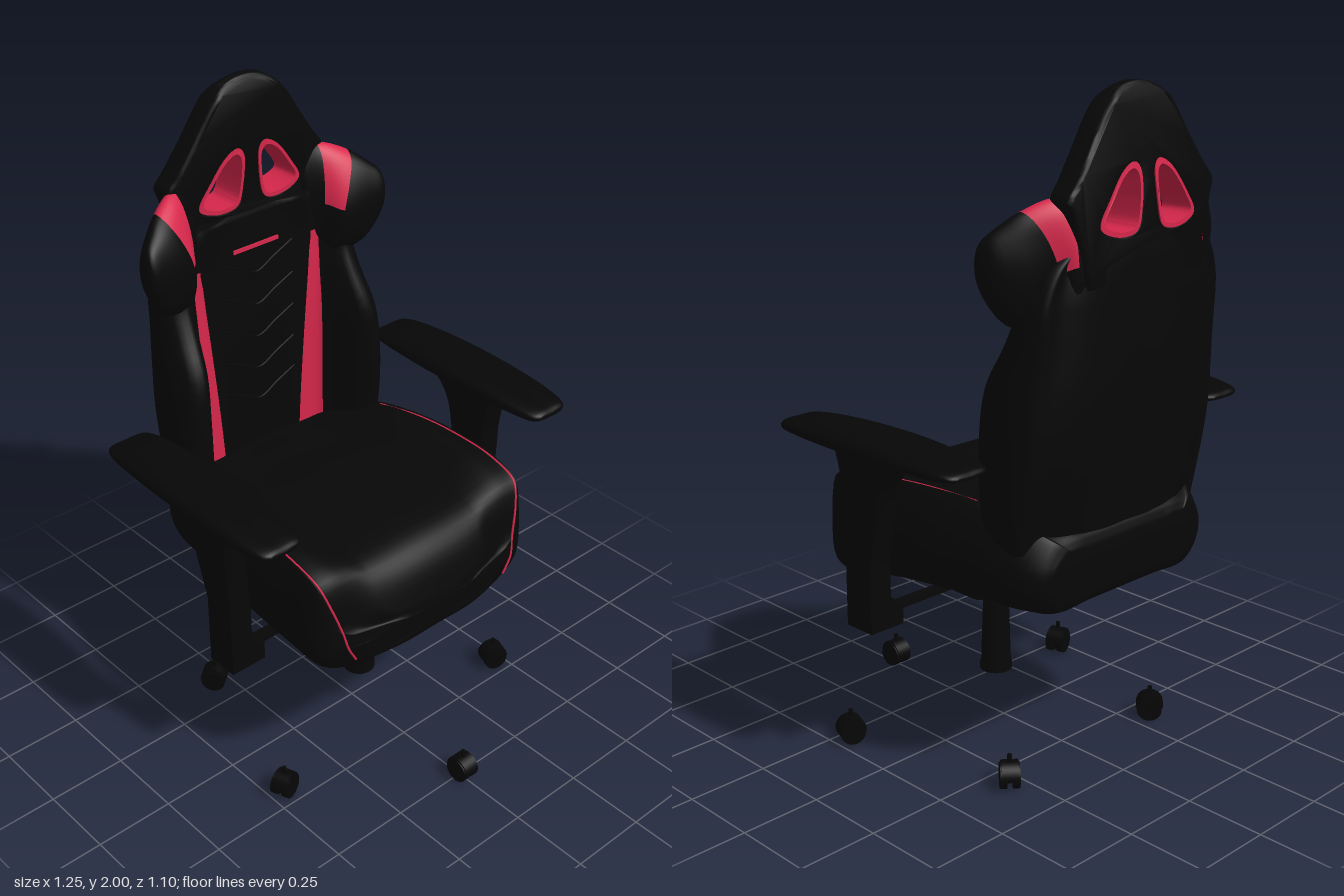
import * as THREE from 'three';
import { toCreasedNormals } from 'three/addons/utils/BufferGeometryUtils.js';

const V = (x, y, z) => new THREE.Vector3(x, y, z);
const smooth = THREE.MathUtils.smoothstep;
const SUB = 4; // subdivisions between control points

export function createModel() {
  const fabric = new THREE.MeshStandardMaterial({ color: 0x070707 });
  fabric.name = 'black fabric';
  const plastic = new THREE.MeshStandardMaterial({ color: 0x060606 });
  plastic.name = 'black plastic';
  const red = new THREE.MeshStandardMaterial({ color: 0xd6274b });
  red.name = 'red trim';

  const model = new THREE.Group();
  const add = (name, geo, mat, x = 0, y = 0, z = 0, parent = model) => {
    const m = new THREE.Mesh(geo, mat);
    m.name = name;
    m.position.set(x, y, z);
    parent.add(m);
    return m;
  };
  const box = (w, h, d) => new THREE.BoxGeometry(w, h, d);
  const cyl = (a, b, h, n = 24) => new THREE.CylinderGeometry(a, b, h, n);
  const tube = (pts, r, n = 48) => new THREE.TubeGeometry(new THREE.CatmullRomCurve3(pts), n, r, 6);

  // Half a cross-section, first and last point on x = 0, made whole
  const mirror = (half) => [...half, ...half.slice(1, -1).reverse().map((p) => V(-p.x, p.y, p.z))];

  // Smooth closed skin through rings of control points; isRed picks spans (row, column)
  function loft(sections, isRed = () => false) {
    const n = sections[0].length * SUB, m = (sections.length - 1) * SUB;
    const rings = sections.map((s) => {
      const c = new THREE.CatmullRomCurve3(s, true);
      return Array.from({ length: n }, (_, j) => c.getPoint(j / n));
    });
    const cols = Array.from({ length: n }, (_, j) => new THREE.CatmullRomCurve3(rings.map((r) => r[j])));
    const pts = [];
    for (let i = 0; i <= m; i++) for (let j = 0; j < n; j++) pts.push(cols[j].getPoint(i / m));
    const parts = [[], []];
    for (let i = 0; i < m; i++) for (let j = 0; j < n; j++) {
      const a = i * n + j, b = i * n + (j + 1) % n;
      parts[isRed(Math.floor(i / SUB), Math.floor(j / SUB)) ? 1 : 0].push(a, b, b + n, a, b + n, a + n);
    }
    for (const row of [0, m]) { // end caps
      const mid = V(0, 0, 0);
      for (let j = 0; j < n; j++) mid.addScaledVector(pts[row * n + j], 1 / n);
      const c = pts.push(mid) - 1;
      for (let j = 0; j < n; j++) {
        const a = row * n + j, b = row * n + (j + 1) % n;
        parts[0].push(c, ...(row ? [a, b] : [b, a]));
      }
    }
    const index = parts.flat();
    let volume = 0;
    const cross = V(0, 0, 0);
    for (let k = 0; k < index.length; k += 3)
      volume += pts[index[k]].dot(cross.crossVectors(pts[index[k + 1]], pts[index[k + 2]]));
    if (volume < 0) for (let k = 0; k < index.length; k += 3) [index[k], index[k + 1]] = [index[k + 1], index[k]];
    const geo = new THREE.BufferGeometry().setFromPoints(pts);
    geo.setIndex(index);
    geo.addGroup(0, parts[0].length, 0);
    geo.addGroup(parts[0].length, parts[1].length, 1);
    geo.computeVertexNormals();
    return geo;
  }

  const edit = (geo, rule) => {
    const p = geo.attributes.position, v = V(0, 0, 0);
    for (let i = 0; i < p.count; i++) {
      v.fromBufferAttribute(p, i);
      rule(v);
      p.setXYZ(i, v.x, v.y, v.z);
    }
    return toCreasedNormals(geo, 0.7);
  };

  // Seat cushion: [z, half width, centre top, bolster top, bottom, edge ratio]
  const seatSections = [
    [-0.50, 0.29, 0.75, 0.76, 0.65, 0.84], [-0.48, 0.335, 0.79, 0.79, 0.58, 0.84],
    [-0.40, 0.38, 0.80, 0.83, 0.57, 0.86], [-0.25, 0.405, 0.81, 0.87, 0.57, 0.88],
    [-0.10, 0.43, 0.82, 0.88, 0.565, 0.90], [0.05, 0.44, 0.82, 0.875, 0.55, 0.92],
    [0.20, 0.43, 0.82, 0.86, 0.52, 0.95], [0.30, 0.418, 0.80, 0.825, 0.50, 0.965],
    [0.352, 0.40, 0.75, 0.765, 0.505, 0.965], [0.383, 0.37, 0.66, 0.66, 0.53, 0.955],
    [0.39, 0.16, 0.63, 0.63, 0.57, 0.955],
  ].map(([z, w, yt, yB, yb, p]) => mirror([
    [0, yt], [0.5, yt], [0.64, yt + 0.4 * (yB - yt)], [0.8, yB - 0.006], [p - 0.02, yB - 0.005], [p, yB - 0.003],
    [1, yB * 0.6 + yb * 0.4], [0.97, yb + 0.05], [0.8, yb], [0.4, yb], [0, yb],
  ].map(([u, y]) => V(u * w, y, z - 0.035 * smooth(u * w, 0.14, 0.3) * smooth(z, 0.28, 0.39)))));
  add('seatCushion', loft(seatSections), [fabric, red]);
  for (const s of [1, -1]) {
    const path = seatSections.slice(3, 10).map((r) => V(r[4].x * s, r[4].y - 0.001, r[4].z + 0.001));
    path.push(V(0.334 * s, 0.6, 0.359), V(0.305 * s, 0.545, 0.358));
    add('seatPiping', tube(path, 0.0035), red);
  }

  // Backrest: [y, half width, bolster front, back, stripe inner x, stripe outer x]
  const PANEL_Z = -0.43;
  const backSections = [
    [0.62, 0.35, -0.30, -0.45, 0.14, 0.235], [0.72, 0.37, -0.27, -0.475, 0.148, 0.235],
    [0.88, 0.39, -0.262, -0.505, 0.158, 0.235], [1.05, 0.394, -0.262, -0.535, 0.172, 0.236],
    [1.20, 0.386, -0.278, -0.545, 0.186, 0.238], [1.32, 0.372, -0.335, -0.547, 0.198, 0.239],
    [1.40, 0.366, -0.367, -0.547, 0.205, 0.24], [1.46, 0.358, -0.375, -0.547, 0.212, 0.24],
    [1.54, 0.32, -0.40, -0.546, 0.2, 0.235], [1.59, 0.26, -0.44, -0.54, 0.17, 0.2],
  ].map(([y, w, zb, back, s1, s2]) => mirror([
    [0, PANEL_Z], [s1 * 0.6, PANEL_Z], [s1, PANEL_Z + 0.006], [s2, PANEL_Z + 0.16 * (zb - PANEL_Z)], [w * 0.82, zb],
    [w * 0.95, zb - 0.02], [w, zb * 0.6 + back * 0.4], [w * 0.95, zb * 0.25 + back * 0.75],
    [w * 0.82, back + 0.042], [w * 0.6, back + 0.014], [w * 0.3, back], [0, back],
  ].map(([x, z]) => V(x, y, z))));
  add('backrest', loft(backSections, (i, j) => i >= 1 && i < 7 && (j === 2 || j === 19)), [fabric, red]);

  // Quilted chevron seams and a plain accent strip
  for (let y = 0.95; y < 1.4; y += 0.11) {
    const seam = [-0.14, -0.07, 0, 0.07, 0.14].map((x) => V(x, y + Math.abs(x) * 0.45, PANEL_Z));
    add('chevronSeam', tube(seam, 0.004, 24), fabric);
  }
  add('accentStrip', box(0.17, 0.012, 0.008), red, 0, 1.48, PANEL_Z + 0.001);

  // Headrest with two openings, bent to the lean of the back
  const spline = (pts, n) => new THREE.SplineCurve(pts.map(([x, y]) => new THREE.Vector2(x, y))).getPoints(n);
  const bend = (grow) => (v) => {
    const half = 0.055 - 0.014 * smooth(v.y, 1.7, 1.95) - 0.023 * smooth(v.y, 1.95, 2.0) - 0.2 * v.x * v.x;
    v.z = -0.495 + 0.02 * smooth(v.y, 1.6, 1.95) + (v.z / 0.05) * half * grow;
  };
  const side = [[0.22, 1.48], [0.25, 1.6], [0.275, 1.68], [0.288, 1.72], [0.25, 1.768], [0.2, 1.84], [0.14, 1.93], [0.08, 1.983]];
  const outline = spline([...side, [0, 2.0], ...side.map(([x, y]) => [-x, y]).reverse()], 90);
  const opening = (s, k) => spline([[0.034, 1.7], [0.032, 1.765], [0.055, 1.79], [0.1, 1.765], [0.15, 1.7],
    [0.18, 1.65], [0.155, 1.626], [0.1, 1.615], [0.05, 1.63], [0.034, 1.7]]
    .map(([x, y]) => [s * (0.09 + (x - 0.09) * k), 1.69 + (y - 1.69) * k]), 40).slice(0, -1);
  const headShape = new THREE.Shape(outline);
  for (const s of [1, -1]) headShape.holes.push(new THREE.Path(opening(s, 1)));
  const headGeo = new THREE.ExtrudeGeometry(headShape, {
    depth: 0.076, bevelThickness: 0.012, bevelSize: 0.012, bevelOffset: -0.012, bevelSegments: 3,
  }).translate(0, 0, -0.038);
  add('headrest', edit(headGeo, bend(1)), fabric);
  for (const s of [1, -1]) {
    const rim = new THREE.Shape(opening(s, 1.09));
    rim.holes.push(new THREE.Path(opening(s, 0.92).reverse()));
    const rimGeo = new THREE.ExtrudeGeometry(rim, { depth: 0.1, bevelEnabled: false }).translate(0, 0, -0.05);
    add('openingRim', edit(rimGeo, bend(1.03)), red);
  }

  // Shoulder wings with a red strap: [x, top, bottom, z, half depth, lean]
  for (const s of [1, -1]) {
    const rings = [
      [0.20, 1.69, 1.38, -0.485, 0.045, 0], [0.265, 1.722, 1.37, -0.462, 0.064, 0.1],
      [0.354, 1.69, 1.37, -0.42, 0.072, 0.42], [0.40, 1.655, 1.39, -0.39, 0.06, 0.15],
      [0.435, 1.62, 1.48, -0.368, 0.036, 0], [0.445, 1.58, 1.53, -0.362, 0.012, 0],
    ].map(([x, top, bottom, z, d, lean]) => Array.from({ length: 12 }, (_, k) => {
      const a = (k / 12) * Math.PI * 2, drop = (1 - Math.cos(a)) / 2 * (top - bottom);
      const shift = lean * 0.18 * Math.sin(Math.min(drop / 0.22, 1) * Math.PI / 2);
      return V(s * (x - shift), top - drop, z + d * Math.sin(a));
    }));
    add('shoulderWing', loft(rings, (i, j) => i === 1 && (j < 3 || j > 8)), [fabric, red]);
  }

  // Arm pad sections: [z, half width, top, bottom]
  const padSections = [
    [0.32, 0.045, 1.022, 1.008], [0.305, 0.067, 1.03, 1.0], [0.25, 0.083, 1.038, 0.998],
    [0.1, 0.095, 1.05, 0.996], [-0.1, 0.098, 1.055, 0.996], [-0.25, 0.093, 1.05, 1.0],
    [-0.36, 0.083, 1.04, 1.005], [-0.4, 0.067, 1.032, 1.01], [-0.412, 0.045, 1.024, 1.014],
  ].map(([z, w, t, b]) => mirror([
    [0, t], [0.6, t], [0.92, t * 0.8 + b * 0.2], [1, (t + b) / 2], [0.92, t * 0.2 + b * 0.8], [0.6, b], [0, b],
  ].map(([u, y]) => V(u * w, y, z))));

  // Arm post side profile, drawn in (-z, y)
  const postShape = new THREE.Shape();
  postShape.moveTo(-0.085, 0.64).lineTo(-0.085, 0.85);
  postShape.quadraticCurveTo(-0.09, 0.95, -0.115, 1.005);
  postShape.lineTo(0.24, 1.005);
  postShape.quadraticCurveTo(0.1, 0.98, 0.065, 0.86);
  postShape.lineTo(0.015, 0.64);

  for (const s of [1, -1]) {
    const arm = new THREE.Group();
    arm.name = s > 0 ? 'leftArm' : 'rightArm';
    model.add(arm);
    add('armPad', loft(padSections), [plastic, red], s * 0.526, 0, 0, arm);
    const post = new THREE.ExtrudeGeometry(postShape, {
      depth: 0.06, bevelThickness: 0.01, bevelSize: 0.01, bevelOffset: -0.01, bevelSegments: 2,
    }).rotateY(Math.PI / 2).translate(-0.03, 0, 0);
    add('armPost', edit(post, (v) => { v.x += s * (0.505 + 0.02 * smooth(v.y, 0.7, 1)); }), plastic, 0, 0, 0, arm);
    add('armSleeve', box(0.075, 0.22, 0.105), plastic, s * 0.508, 0.56, 0.035, arm);
    add('armFoot', box(0.12, 0.065, 0.105), plastic, s * 0.485, 0.482, 0.035, arm);
    add('armBracket', box(0.34, 0.014, 0.04), plastic, s * 0.29, 0.485, 0.035, arm);
  }

  // Tilt mechanism and gas lift
  const octagon = (r, h) => cyl(r, r, h, 8).rotateY(Math.PI / 8);
  add('tiltMechanism', toCreasedNormals(octagon(0.168, 0.11), 0.5), plastic, 0, 0.505, 0.04);
  add('mechanismBase', toCreasedNormals(octagon(0.14, 0.025), 0.5), plastic, 0, 0.442, 0.04);
  add('liftPiston', cyl(0.036, 0.036, 0.12), plastic, 0, 0.39, 0.035);
  add('liftCylinder', cyl(0.04, 0.047, 0.22), plastic, 0, 0.27, 0.035);
  add('liftCollar', cyl(0.05, 0.05, 0.02), plastic, 0, 0.16, 0.035);

  // Twin-wheel casters
  for (const [x, z] of [[0, 0.512], [0.455, 0.2], [-0.455, 0.2], [0.308, -0.335], [-0.308, -0.335]]) {
    const caster = new THREE.Group();
    caster.name = 'caster';
    caster.position.set(x, 0, z);
    caster.rotation.y = Math.atan2(x, z - 0.035);
    model.add(caster);
    for (const s of [1, -1])
      add('wheel', cyl(0.039, 0.039, 0.02).rotateZ(Math.PI / 2), plastic, s * 0.019, 0.039, 0, caster);
    const hood = new THREE.CylinderGeometry(0.042, 0.042, 0.05, 16, 1, false, 0, Math.PI).rotateZ(Math.PI / 2);
    add('wheelHood', hood, plastic, 0, 0.042, 0, caster);
    add('wheelHub', cyl(0.024, 0.024, 0.04).rotateZ(Math.PI / 2), plastic, 0, 0.039, 0, caster);
    add('stem', cyl(0.007, 0.007, 0.06, 12), plastic, 0, 0.075, 0, caster);
  }
  return model;
}
